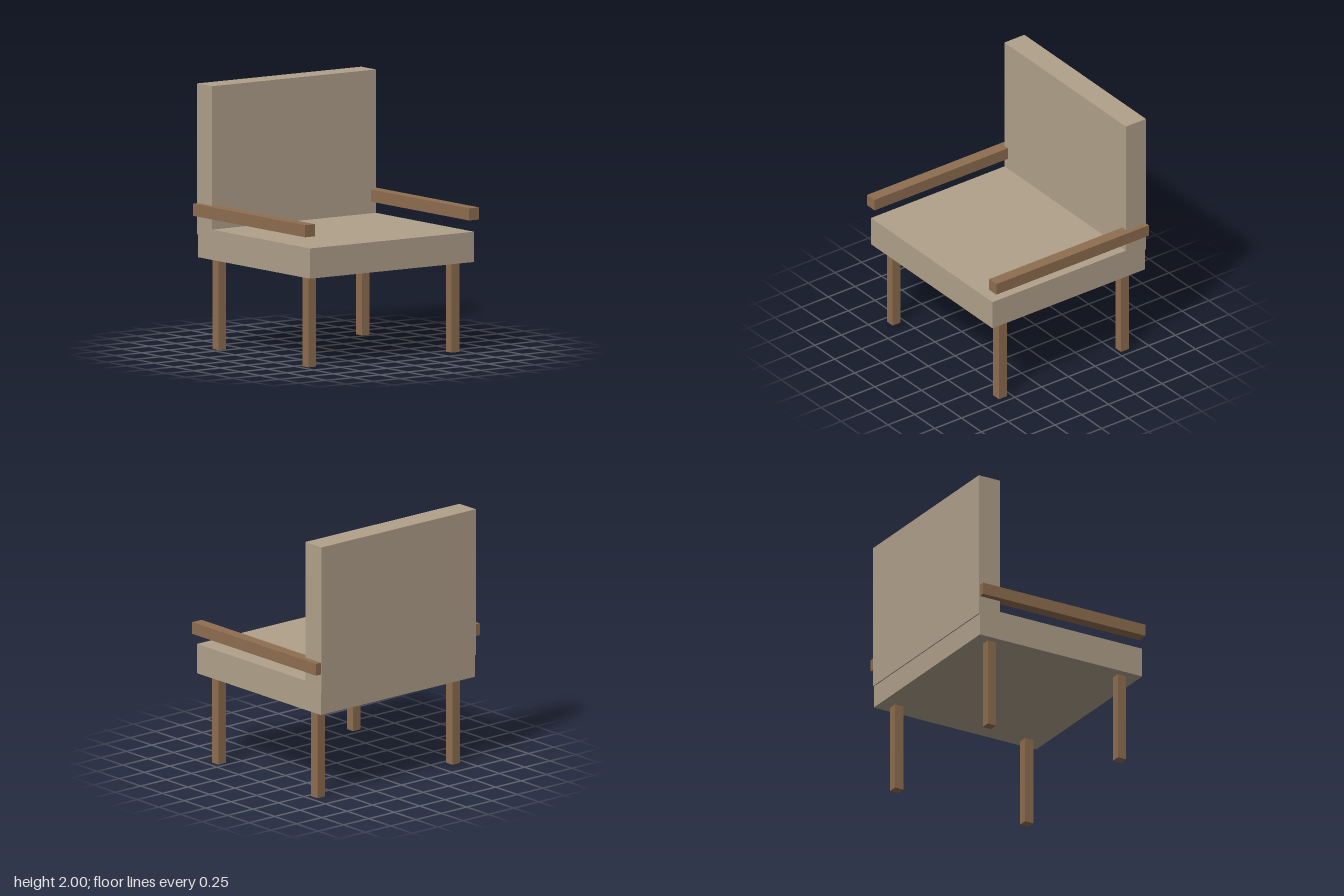
import * as THREE from 'three';

export function createModel() {
  const chair = new THREE.Group();
  chair.name = 'armchair';

  const fabric = new THREE.MeshStandardMaterial({ color: 0xb1a18b });
  fabric.name = 'beige fabric';
  const wood = new THREE.MeshStandardMaterial({ color: 0x8f6e50 });
  wood.name = 'brown wood';

  // Box given by its extents along x, y and z
  function addBox(name, material, [x0, x1], [y0, y1], [z0, z1]) {
    const mesh = new THREE.Mesh(new THREE.BoxGeometry(x1 - x0, y1 - y0, z1 - z0), material);
    mesh.position.set((x0 + x1) / 2, (y0 + y1) / 2, (z0 + z1) / 2);
    mesh.name = name;
    chair.add(mesh);
  }

  // Upholstery: the backrest sinks into the seat and overhangs it slightly behind
  addBox('seat', fabric, [-0.76, 0.76], [0.687, 0.916], [-0.708, 0.717]);
  addBox('backrest', fabric, [-0.76, 0.76], [0.86, 2], [-0.717, -0.53]);

  // Armrests and legs, mirrored left and right
  for (const [side, s] of [['left', 1], ['right', -1]]) {
    const mirror = (a, b) => (s > 0 ? [a, b] : [-b, -a]);
    addBox(`${side}Armrest`, wood, mirror(0.715, 0.807), [1.004, 1.096], [-0.708, 0.717]);
    addBox(`${side}FrontLeg`, wood, mirror(0.628, 0.701), [0, 0.687], [0.54, 0.613]);
    addBox(`${side}BackLeg`, wood, mirror(0.628, 0.701), [0, 0.687], [-0.602, -0.529]);
  }

  return chair;
}
